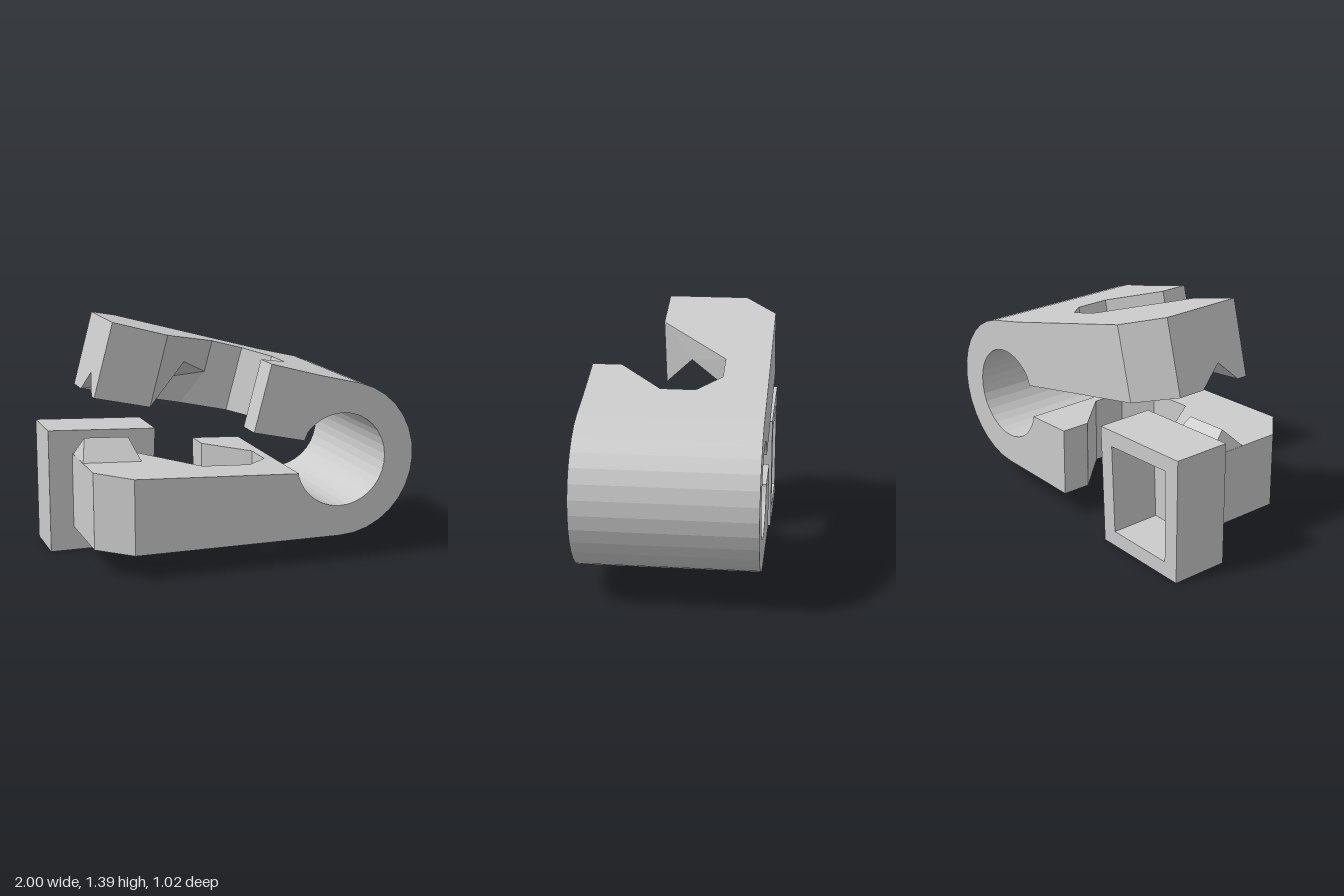
import * as THREE from 'three';
import { ConvexGeometry } from 'three/addons/geometries/ConvexGeometry.js';

const material = new THREE.MeshStandardMaterial({ color: 0xcccccc, flatShading: true });

function addMesh(group, geometry, name) {
  const mesh = new THREE.Mesh(geometry, material);
  mesh.name = name;
  group.add(mesh);
}

// Geometry from flat polygons, each listed counter-clockwise from outside
function fromFaces(faces) {
  const positions = [];
  for (const face of faces) {
    const n = new THREE.Vector3();
    face.forEach((p, i) => n.add(p.clone().cross(face[(i + 1) % face.length])));
    n.normalize();
    const ax = face[1].clone().sub(face[0]).projectOnPlane(n).normalize();
    const ay = n.clone().cross(ax);
    const flat = face.map(p => new THREE.Vector2(p.dot(ax), p.dot(ay)));
    for (const [a, b, c] of THREE.ShapeUtils.triangulateShape(flat, [])) {
      const turn = flat[b].clone().sub(flat[a]).cross(flat[c].clone().sub(flat[a]));
      for (const k of turn > 0 ? [a, b, c] : [a, c, b]) positions.push(...face[k].toArray());
    }
  }
  const geometry = new THREE.BufferGeometry();
  geometry.setAttribute('position', new THREE.Float32BufferAttribute(positions, 3));
  geometry.computeVertexNormals();
  return geometry;
}

// Hooked arm: a plan outline swept through the arm's thickness.
// place(u, s, z) maps length, depth and width to space; depth(u) is the thickness.
function hookedArm({ tip, side, place, depth, groove }) {
  const plan = [
    [tip, -0.325], [tip, side], [-0.37, side], [0.03, -0.25], [0.22, -0.25], [0.36, -0.11],
    [0.36, 0.09], [0.12, 0.34], [0.12, 0.51], [0.42, 0.51], [0.42, -0.51], [tip + 0.185, -0.51],
  ];
  const inner = (u, z) => place(u, depth(u), z);
  const t = plan.map(([u, z]) => place(u, 0, z));
  const b = plan.map(([u, z], i) => inner(i === 3 ? u - 0.1 : u, z)); // undercut corner
  const B = place(0.03, 0.19, -0.25);
  const faces = [t];
  for (let i = 0; i < plan.length; i++) {
    const j = (i + 1) % plan.length;
    if (i === 3) faces.push([B, b[3], b[4], t[4], t[3]]);
    else if (i !== 2 && !(groove && i === 0)) faces.push([b[i], b[j], t[j], t[i]]);
  }
  if (groove) {
    // V groove in the inner side, deepening towards the notch
    const A = place(-0.18, 0.14, -0.03), E = place(tip, depth(tip) - 0.12, -0.03);
    const E1 = inner(tip, -0.16), E2 = inner(tip, 0.09);
    faces.push(
      [b[0], E1, E, E2, b[1], t[1], t[0]],
      [b[2], A, B, t[3], t[2]],
      [E, A, b[2], E2],
      [E1, b[3], B, A, E],
      [b[2], b[1], E2],
      [b[0], E1, ...b.slice(3)].reverse(),
    );
  } else {
    faces.push([b[2], B, t[3], t[2]], [b[2], b[3], B], [...b].reverse());
  }
  return fromFaces(faces);
}

function extrude(points, z0, z1, hole) {
  const shape = new THREE.Shape(points.map(p => new THREE.Vector2(...p)));
  if (hole) shape.holes.push(new THREE.Path(hole.map(p => new THREE.Vector2(...p))));
  return new THREE.ExtrudeGeometry(shape, { depth: z1 - z0, bevelEnabled: false }).translate(0, 0, z0);
}

function arc(radius, from, to, steps) {
  return Array.from({ length: steps + 1 }, (_, i) => {
    const a = THREE.MathUtils.degToRad(from + (to - from) * i / steps);
    return [0.55 + radius * Math.cos(a), 0.592 + radius * Math.sin(a)];
  });
}

export function createModel() {
  const group = new THREE.Group();
  const topY = u => 1.39 - 0.274 * (u + 0.69);
  const lowerTopY = x => 0.53 + 0.048 * (0.29 - x);

  // Spring ring, open towards the arms
  addMesh(group, extrude([
    ...arc(0.45, 75, -90, 15),
    [0.29, 0.142], [0.29, lowerTopY(0.29)],
    ...arc(0.272, 194, 510, 30),
    [0.32, 0.718], [0.42, topY(0.42)],
  ], -0.51, 0.51), 'springRing');

  // Raised upper arm, with the hook at the back
  addMesh(group, hookedArm({
    tip: -0.69, side: 0.153, groove: true,
    place: (u, s, z) => new THREE.Vector3(u - 0.26 * s, topY(u) - 0.97 * s, z),
    depth: u => 0.40 - 0.05 * u,
  }), 'upperArm');

  // Lower arm: the same outline turned over, with the hook at the front
  addMesh(group, hookedArm({
    tip: -0.73, side: 0.17, groove: false,
    place: (u, s, z) => new THREE.Vector3(u - 0.13, 0.142 + s, -z),
    depth: u => lowerTopY(u - 0.13) - 0.142,
  }), 'lowerArm');

  // Roof-shaped catch on the lower hook
  const corners = [[-0.82, 0.705, -0.03], [-0.56, 0.692, -0.03]];
  for (const z of [-0.16, 0.095]) corners.push([-0.86, 0.58, z], [-0.51, 0.56, z]);
  addMesh(group, new ConvexGeometry(corners.map(c => new THREE.Vector3(...c))), 'catchTooth');

  // Socket box with a pocket open to the back
  const box = [[-1, 0], [-0.385, 0], [-0.355, 0.70], [-1, 0.73]];
  const pocket = [[-0.905, 0.09], [-0.475, 0.09], [-0.45, 0.61], [-0.905, 0.635]];
  addMesh(group, extrude(box, -0.51, -0.21, pocket), 'socketWalls');
  addMesh(group, extrude(box, -0.21, -0.17), 'socketFloor');
  return group;
}
